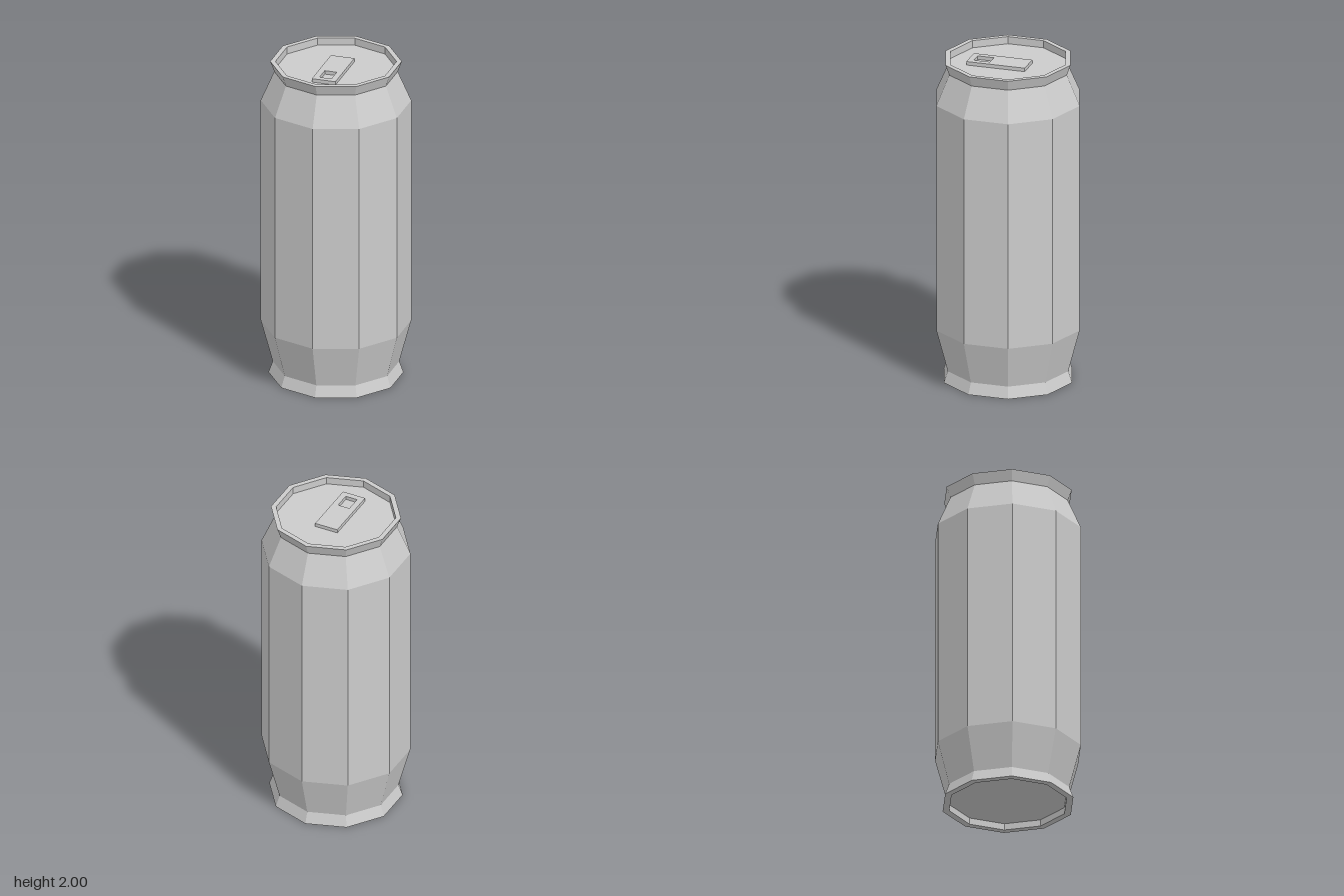
import * as THREE from 'three';

const LID_Y = 1.955;

// Rectangle outline in the x/z plane (shape y is -z)
function rect(target, halfWidth, zBack, zFront) {
  target.moveTo(-halfWidth, -zFront);
  target.lineTo(halfWidth, -zFront);
  target.lineTo(halfWidth, -zBack);
  target.lineTo(-halfWidth, -zBack);
  target.closePath();
  return target;
}

export function createModel() {
  const group = new THREE.Group();
  group.name = 'drinkCan';
  const material = new THREE.MeshStandardMaterial({ color: 0xcccccc, flatShading: true });

  // Ten-sided can: recessed base, flared foot, body, shoulder, flared rim, recessed lid
  const profile = [
    [0, 0.04], [0.357, 0.04], [0.357, 0], [0.398, 0],
    [0.373, 0.07], [0.444, 0.335], [0.444, 1.75], [0.364, 1.935],
    [0.388, 2], [0.357, 2], [0.357, LID_Y], [0, LID_Y],
  ].map(([r, y]) => new THREE.Vector2(r, y));
  const canGeometry = new THREE.LatheGeometry(profile, 10).toNonIndexed();
  canGeometry.computeVertexNormals();
  const can = new THREE.Mesh(canGeometry, material);
  can.name = 'canBody';
  group.add(can);

  // Pull tab with a finger hole, lying on the lid
  const outline = rect(new THREE.Shape(), 0.073, -0.127, 0.235);
  outline.holes.push(rect(new THREE.Path(), 0.037, 0.1, 0.2));
  const tabGeometry = new THREE.ExtrudeGeometry(outline, { depth: 0.022, bevelEnabled: false });
  tabGeometry.rotateX(-Math.PI / 2);
  const tab = new THREE.Mesh(tabGeometry, material);
  tab.name = 'pullTab';
  tab.position.y = LID_Y;
  group.add(tab);

  return group;
}
